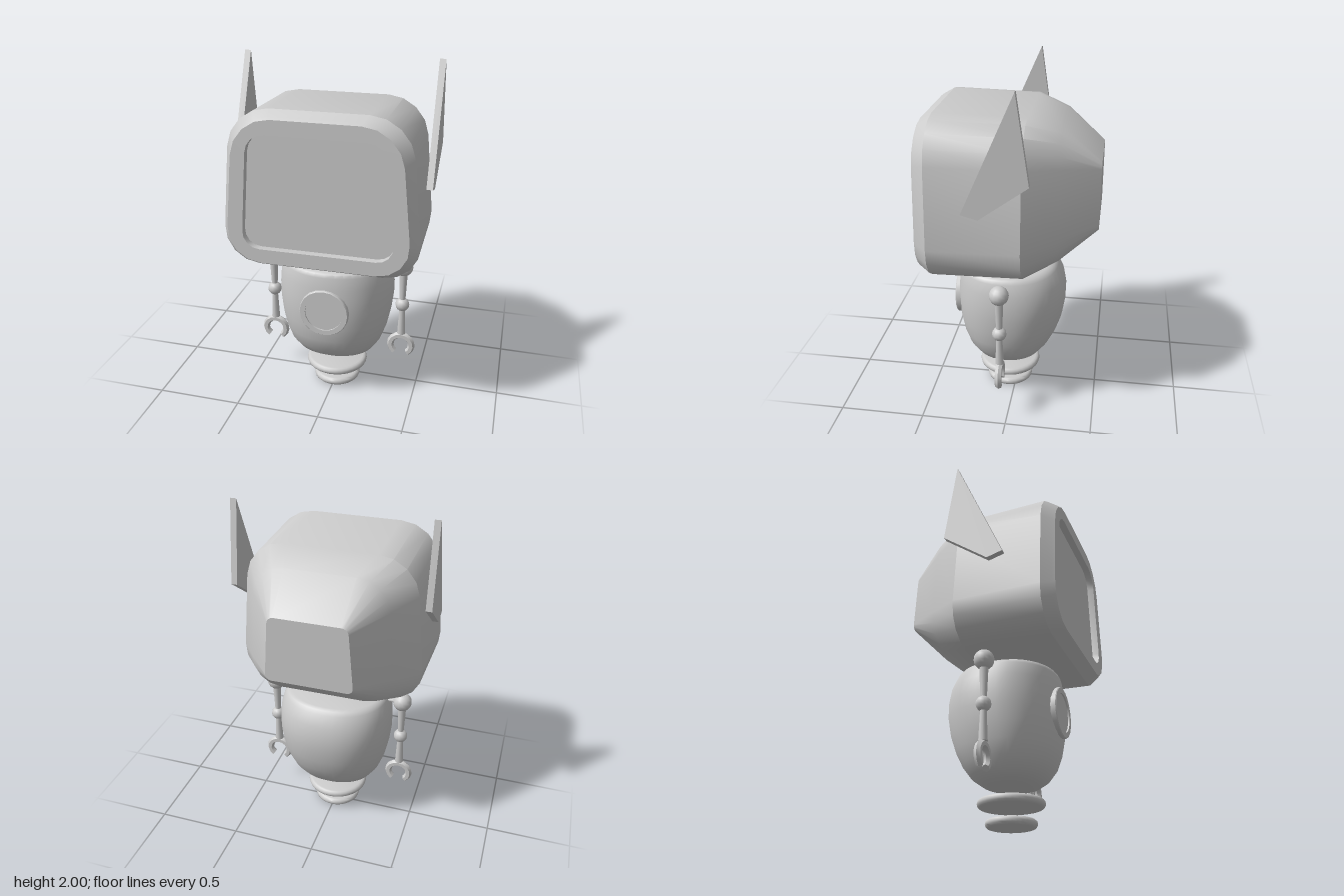
import * as THREE from 'three';
import { toCreasedNormals } from 'three/addons/utils/BufferGeometryUtils.js';

const material = new THREE.MeshStandardMaterial({ color: 0xcccccc });

function addMesh(parent, name, geometry, x = 0, y = 0, z = 0) {
  const mesh = new THREE.Mesh(geometry, material);
  mesh.name = name;
  mesh.position.set(x, y, z);
  parent.add(mesh);
  return mesh;
}

// Skin between closed loops of points, capped at the first and last loop
function loft(loops, crease) {
  const n = loops[0].length, pos = [];
  const tri = (...points) => points.forEach((p) => pos.push(p.x, p.y, p.z));
  const middle = (loop) => loop.reduce((s, p) => s.add(p), new THREE.Vector3()).divideScalar(n);
  const first = loops[0], last = loops[loops.length - 1];
  const c0 = middle(first), c1 = middle(last);
  for (let j = 0; j < n; j++) {
    const k = (j + 1) % n;
    for (let i = 0; i < loops.length - 1; i++) {
      const a = loops[i], b = loops[i + 1];
      tri(a[j], a[k], b[k]);
      tri(a[j], b[k], b[j]);
    }
    tri(c0, first[k], first[j]);
    tri(c1, last[j], last[k]);
  }
  const geometry = new THREE.BufferGeometry();
  geometry.setAttribute('position', new THREE.Float32BufferAttribute(pos, 3));
  geometry.computeVertexNormals();
  return toCreasedNormals(geometry, crease);
}

// Rounded trapezoid, counter-clockwise seen from the front
function trapezoid([z, bottom, top, y0, y1, r]) {
  const corners = [[bottom, y0], [top, y1], [-top, y1], [-bottom, y0]]
    .map(([x, y]) => new THREE.Vector3(x, y, z));
  const loop = [], steps = 4;
  corners.forEach((p, i) => {
    const u = corners[(i + 3) % 4].clone().sub(p).setLength(r);
    const v = corners[(i + 1) % 4].clone().sub(p).setLength(r);
    for (let s = 0; s <= steps; s++) {
      const t = (s / steps) * Math.PI / 2;
      loop.push(p.clone().addScaledVector(u, 1 - Math.sin(t)).addScaledVector(v, 1 - Math.cos(t)));
    }
  });
  return loop;
}

// Slightly squared horizontal oval
function oval([y, halfWidth, front, back]) {
  const loop = [], n = 40, soft = (v) => Math.sign(v) * Math.abs(v) ** 0.9;
  for (let i = 0; i < n; i++) {
    const t = (i / n) * Math.PI * 2;
    loop.push(new THREE.Vector3(
      halfWidth * soft(Math.cos(t)), y,
      (front + back) / 2 - ((front - back) / 2) * soft(Math.sin(t))));
  }
  return loop;
}

// Flat disc with a rounded rim
function disc(radius, height) {
  const h = height / 2, points = [new THREE.Vector2(0, -h)];
  for (let i = 0; i <= 6; i++) {
    const t = -Math.PI / 2 + (i / 6) * Math.PI;
    points.push(new THREE.Vector2(radius - h + h * Math.cos(t), h * Math.sin(t)));
  }
  points.push(new THREE.Vector2(0, h));
  return toCreasedNormals(new THREE.LatheGeometry(points, 32), 0.6);
}

function makeArm() {
  const arm = new THREE.Group();
  addMesh(arm, 'shoulderPeg', new THREE.CylinderGeometry(0.013, 0.013, 0.14, 10), -0.08).rotation.z = Math.PI / 2;
  addMesh(arm, 'shoulderBall', new THREE.SphereGeometry(0.056, 14, 10));
  addMesh(arm, 'upperArm', new THREE.CylinderGeometry(0.025, 0.017, 0.2, 10), 0, -0.14);
  addMesh(arm, 'elbowBall', new THREE.SphereGeometry(0.042, 12, 8), 0, -0.25);
  addMesh(arm, 'forearm', new THREE.CylinderGeometry(0.017, 0.025, 0.18, 10), 0, -0.36);
  // Open claw: a ring with its gap facing down
  const claw = new THREE.Group();
  claw.name = 'claw';
  claw.position.y = -0.53;
  arm.add(claw);
  const gap = 1.35, arc = Math.PI * 2 - gap, start = -Math.PI / 2 + gap / 2;
  const ring = new THREE.TorusGeometry(0.065, 0.021, 6, 12, arc);
  addMesh(claw, 'clawRing', toCreasedNormals(ring, 0.6)).rotation.z = start;
  for (const [angle, turn] of [[start, Math.PI / 2], [start + arc, -Math.PI / 2]]) {
    const tip = new THREE.CircleGeometry(0.021, 6).rotateX(turn).rotateZ(angle);
    addMesh(claw, 'clawTip', tip, 0.065 * Math.cos(angle), 0.065 * Math.sin(angle));
  }
  return arm;
}

export function createModel() {
  const model = new THREE.Group();
  model.name = 'robot';

  // Head, back to front, ending in the recessed screen
  addMesh(model, 'head', loft([
    [-0.48, 0.245, 0.215, 1.17, 1.55, 0.035],
    [-0.27, 0.415, 0.365, 0.995, 1.73, 0.17],
    [-0.09, 0.548, 0.468, 0.925, 1.79, 0.21],
    [0.41, 0.56, 0.478, 0.92, 1.80, 0.215],
    [0.465, 0.525, 0.445, 0.95, 1.77, 0.2],
    [0.48, 0.515, 0.437, 0.96, 1.76, 0.2],
    [0.48, 0.42, 0.367, 1.04, 1.68, 0.1],
    [0.44, 0.42, 0.367, 1.04, 1.68, 0.1],
  ].map(trapezoid), 0.5));

  // Ears: thin pointed plates, drawn in the side plane
  const earShape = new THREE.Shape([[0.07, 2], [-0.21, 1.365], [-0.12, 1.34], [0.14, 1.53]]
    .map(([x, y]) => new THREE.Vector2(x, y)));
  for (const [name, x] of [['leftEar', 0.53], ['rightEar', -0.565]]) {
    const ear = new THREE.ExtrudeGeometry(earShape, { depth: 0.035, bevelEnabled: false });
    addMesh(model, name, ear, x).rotation.y = Math.PI / 2;
  }

  // Egg-shaped body with a flat top
  addMesh(model, 'body', loft([
    [0.22, 0.13, 0.14, -0.07],
    [0.235, 0.19, 0.20, -0.115],
    [0.27, 0.24, 0.25, -0.165],
    [0.33, 0.28, 0.295, -0.21],
    [0.41, 0.309, 0.323, -0.25],
    [0.5, 0.328, 0.34, -0.28],
    [0.6, 0.34, 0.347, -0.296],
    [0.68, 0.341, 0.347, -0.298],
    [0.76, 0.333, 0.341, -0.283],
    [0.83, 0.315, 0.333, -0.25],
    [0.85, 0.303, 0.327, -0.232],
    [0.858, 0.285, 0.315, -0.21],
  ].map(oval), 0.7));

  // Round chest plate with a raised rim
  const rim = [[0, 0], [0.11, 0], [0.11, 0.009], [0.14, 0.009], [0.144, 0.004], [0.144, -0.06]]
    .map(([r, h]) => new THREE.Vector2(r, h)).reverse();
  const plate = toCreasedNormals(new THREE.LatheGeometry(rim, 20), 0.5);
  addMesh(model, 'chestPlate', plate, 0, 0.615, 0.348).rotation.x = Math.PI / 2;

  // Arms
  for (const [name, side] of [['leftArm', 1], ['rightArm', -1]]) {
    const arm = makeArm();
    arm.name = name;
    arm.position.set(side * 0.402, 0.815, 0.045);
    if (side < 0) arm.rotation.y = Math.PI;
    model.add(arm);
  }

  // Floating base rings
  addMesh(model, 'upperBaseDisc', disc(0.187, 0.046), 0, 0.132, 0.045);
  addMesh(model, 'lowerBaseDisc', disc(0.142, 0.046), 0, 0.025, 0.045);

  return model;
}
